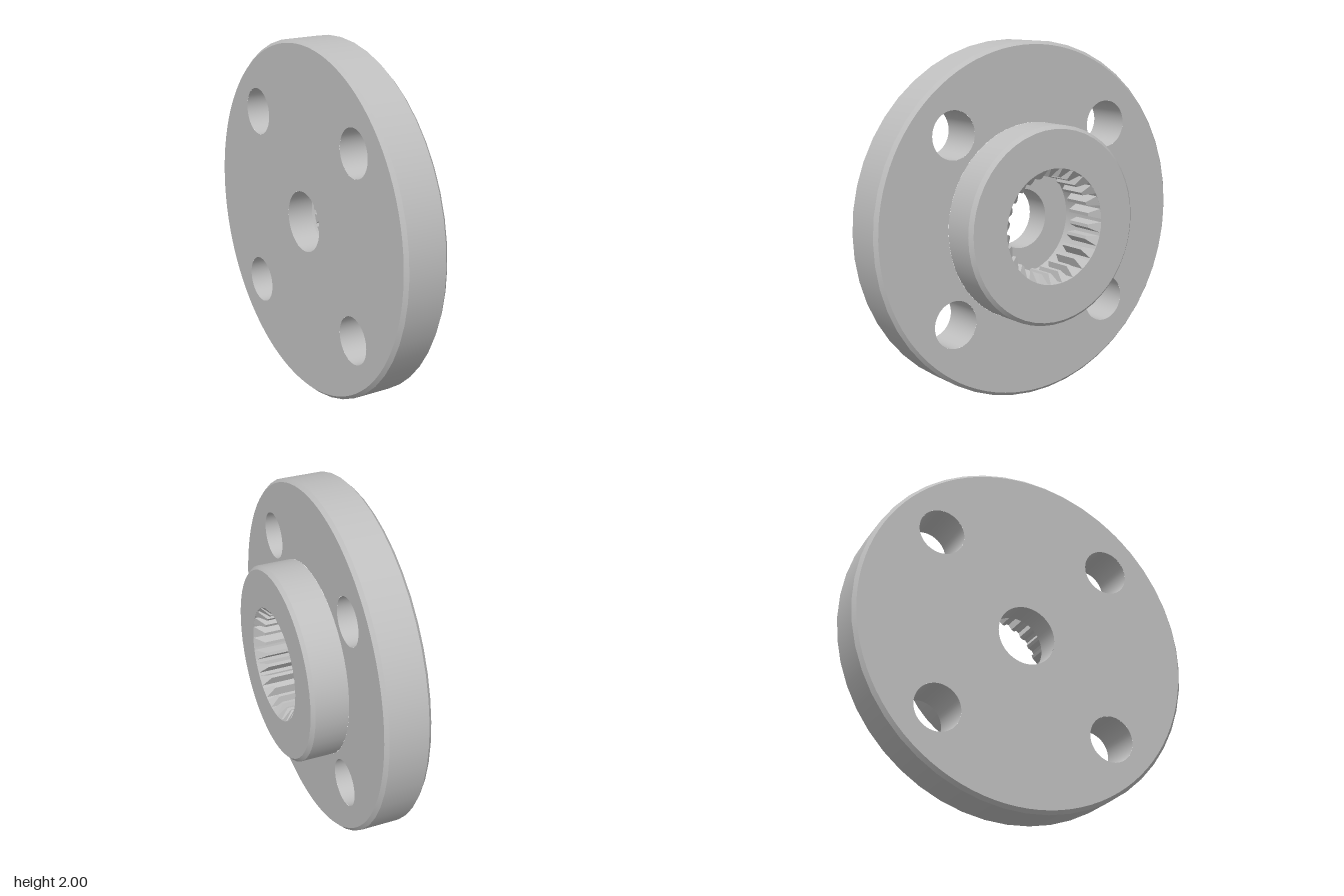
import * as THREE from 'three';

const SEG = 48;
const BACK = -0.24, STEP = 0.02, FRONT = 0.23;   // main stations along the x axis
const FLOOR = -0.09, TOOTH_END = 0.01;
const CH = 0.02, RIM = 1, HUB = 0.555, SOCKET = 0.322, TIP = 0.27, BORE = 0.17;
const HOLE = 0.133, HOLE_POS = 0.515;

export function createModel() {
  const steel = new THREE.MeshStandardMaterial({ color: 0xc0c0c0 });
  steel.name = 'steel grey';
  const model = new THREE.Group();
  model.name = 'splinedFlange';
  const body = new THREE.Group();
  body.position.y = 1;
  model.add(body);

  const add = (name, geometry, parent = body) => {
    const mesh = new THREE.Mesh(geometry, steel);
    mesh.name = name;
    parent.add(mesh);
    return mesh;
  };

  // Revolves [radius, x] points about the x axis, with a sharp edge at each point
  const revolve = (name, points) => {
    const group = new THREE.Group();
    group.name = name;
    for (let i = 0; i + 1 < points.length; i++) {
      const pair = [points[i], points[i + 1]].map(([r, x]) => new THREE.Vector2(r, x));
      add(name + 'Surface', new THREE.LatheGeometry(pair, SEG).rotateZ(-Math.PI / 2), group);
    }
    body.add(group);
    return group;
  };

  // Flange face with its centre opening and four bolt holes
  const face = (name, inner, x, side) => {
    const shape = new THREE.Shape().absarc(0, 0, RIM - CH, 0, Math.PI * 2);
    const cut = (a, b, r) => shape.holes.push(new THREE.Path().absarc(a, b, r, 0, Math.PI * 2, true));
    cut(0, 0, inner);
    for (const a of [-1, 1]) for (const b of [-1, 1]) cut(a * HOLE_POS, b * HOLE_POS, HOLE);
    add(name, new THREE.ShapeGeometry(shape, SEG).rotateY(side * Math.PI / 2)).position.x = x;
  };

  face('flangeFrontFace', HUB, STEP, 1);
  face('flangeBackFace', BORE, BACK, -1);
  revolve('flangeRim', [[RIM - CH, BACK], [RIM, BACK + CH], [RIM, STEP - CH], [RIM - CH, STEP]]);

  // Hub, stepped socket and through bore
  revolve('hub', [[HUB, STEP], [HUB, FRONT - CH], [HUB - CH, FRONT], [SOCKET, FRONT]]);
  revolve('socket', [[SOCKET, FRONT], [SOCKET, FLOOR], [BORE, FLOOR]]);
  revolve('throughBore', [[BORE, FLOOR], [BORE, BACK]]);

  // Bolt hole walls
  for (const a of [-1, 1]) for (const b of [-1, 1]) {
    revolve('boltHole', [[HOLE, STEP], [HOLE, BACK]]).position.set(0, a * HOLE_POS, b * HOLE_POS);
  }

  // Internal spline tooth: tapers towards the axis, with a chamfered front end
  const COUNT = 26;
  let tooth = new THREE.BoxGeometry(1, 1, 1);
  const p = tooth.attributes.position;
  for (let i = 0; i < p.count; i++) {
    const outer = p.getY(i) > 0;
    const r = outer ? SOCKET : TIP;
    const x = p.getX(i) > 0 ? FRONT - (SOCKET - r) : TOOTH_END;
    p.setXYZ(i, x, r, Math.sign(p.getZ(i)) * (outer ? 0.03 : 0.009));
  }
  tooth = tooth.toNonIndexed();
  tooth.computeVertexNormals();
  const spline = new THREE.Group();
  spline.name = 'internalSpline';
  for (let i = 0; i < COUNT; i++) {
    add('splineTooth', tooth, spline).rotation.x = (i / COUNT) * Math.PI * 2;
  }
  body.add(spline);

  return model;
}
